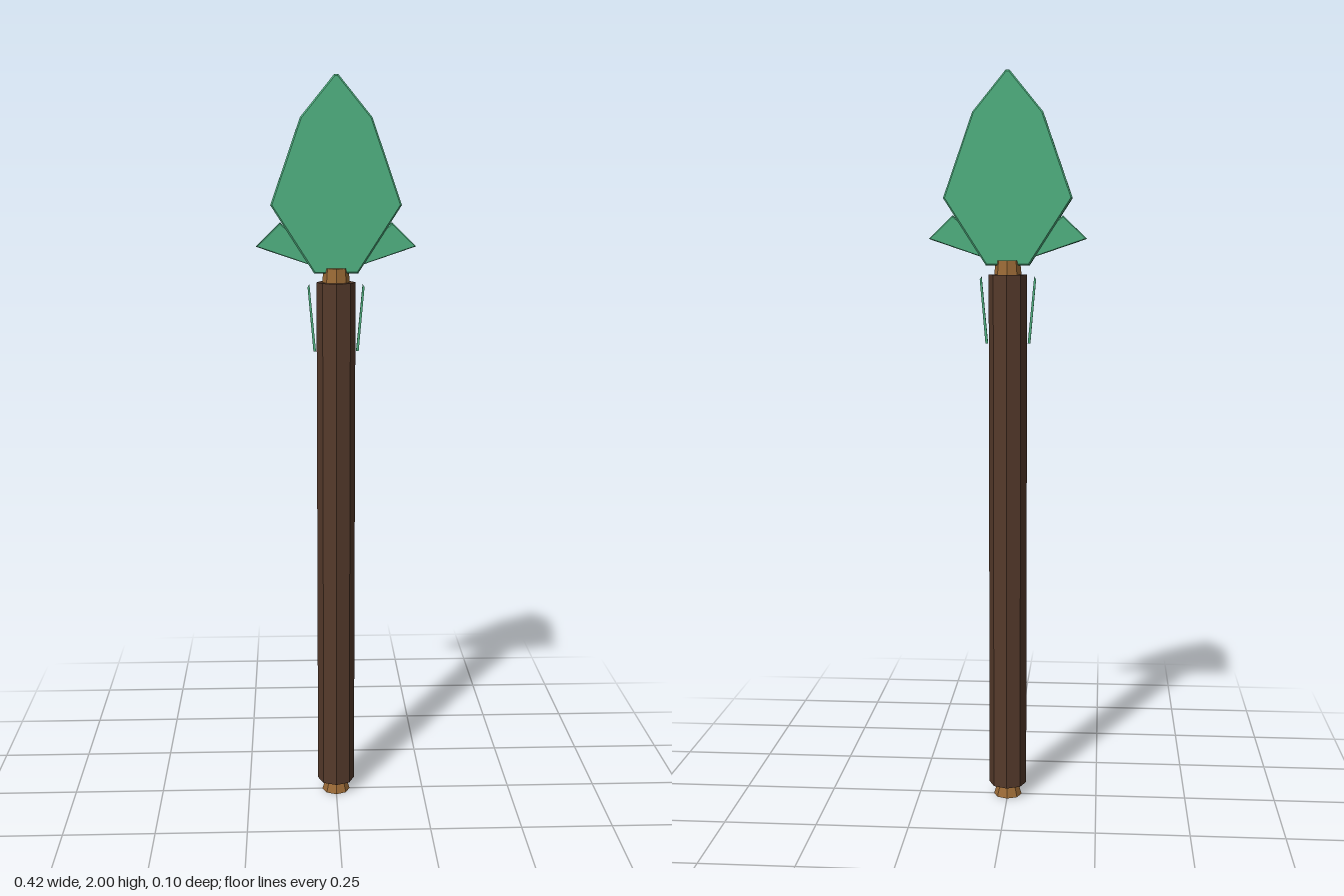
import * as THREE from 'three';

export function createModel() {
  const group = new THREE.Group();
  const material = (name, color) => {
    const m = new THREE.MeshStandardMaterial({ color, flatShading: true });
    m.name = name;
    return m;
  };
  const green = material('leaf green', 0x4fb080);
  const brown = material('dark bark', 0x553a2b);
  const tan = material('pale wood', 0x9a6a36);

  const add = (name, geometry, mat) => {
    const mesh = new THREE.Mesh(geometry, mat);
    mesh.name = name;
    group.add(mesh);
    return mesh;
  };

  // Eight-sided turned part between two heights
  const octagon = (name, rTop, rBottom, y0, y1, mat) => {
    const g = new THREE.CylinderGeometry(rTop, rBottom, y1 - y0, 8);
    add(name, g.translate(0, (y0 + y1) / 2, 0), mat);
  };

  // Flat plate with a fine bevel that stays inside the outline
  const plate = (name, points, thickness, bevel) => {
    const shape = new THREE.Shape(points.map(([x, y]) => new THREE.Vector2(x, y)));
    const depth = thickness - 2 * bevel;
    const g = new THREE.ExtrudeGeometry(shape, {
      depth, bevelEnabled: bevel > 0, bevelSize: bevel, bevelOffset: -bevel,
      bevelThickness: bevel, bevelSegments: 1,
    });
    add(name, g.translate(0, 0, -depth / 2), green);
  };
  const mirrorX = (points) => points.map(([x, y]) => [-x, y]).reverse();

  // Handle with a flared foot and a collar under the blade
  octagon('handle', 0.052, 0.052, 0.035, 1.465, brown);
  octagon('foot', 0.028, 0.039, 0, 0.036, tan);
  octagon('collar', 0.033, 0.037, 1.464, 1.503, tan);

  // Leaf-shaped blade
  const half = [[0.058, 1.489], [0.173, 1.668], [0.094, 1.892], [0.005, 2]];
  plate('blade', [...half, ...mirrorX(half)], 0.034, 0.004);

  // Barbs beside the blade and thin slivers along the handle
  const barb = [[0.04, 1.502], [0.212, 1.56], [0.148, 1.622], [0.09, 1.575]];
  const sliver = [[0.054, 1.28], [0.061, 1.28], [0.076, 1.452], [0.071, 1.46]];
  for (const [side, place] of [['left', (p) => p], ['right', mirrorX]]) {
    plate(side + 'Barb', place(barb), 0.026, 0.003);
    plate(side + 'Sliver', place(sliver), 0.006, 0);
  }
  return group;
}
